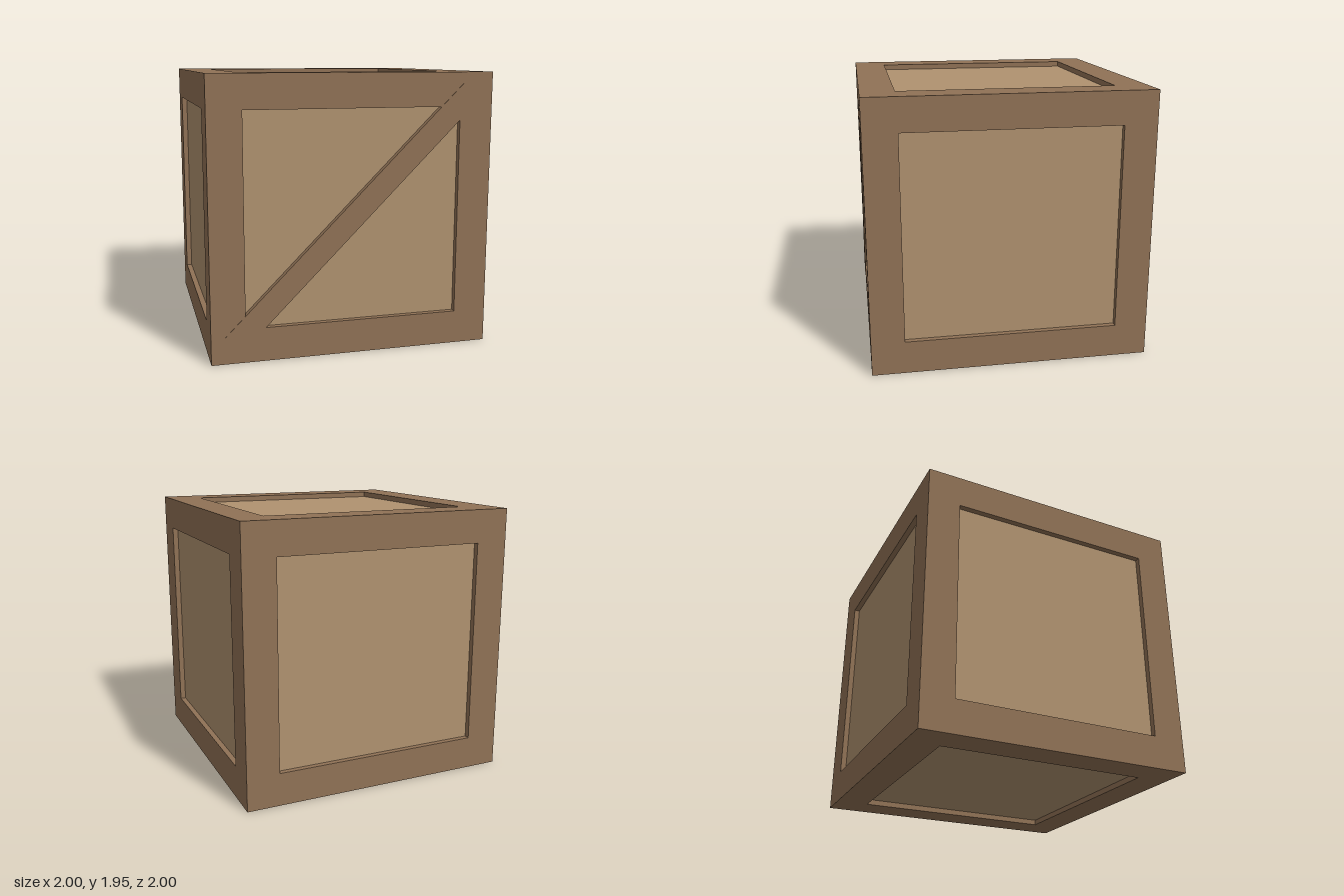
import * as THREE from 'three';

const W = 1.996, H = 1.95; // outer width/depth and height of the frame
const B = 0.237;           // beam thickness
const RECESS = 0.04;       // how far the panels sit behind the frame
const PROUD = 0.004;       // how far the brace stands out of the frame

export function createModel() {
  const frameWood = new THREE.MeshStandardMaterial({ color: 0x907256 });
  frameWood.name = 'frameWood';
  const panelWood = new THREE.MeshStandardMaterial({ color: 0xb09270 });
  panelWood.name = 'panelWood';

  const crate = new THREE.Group();
  crate.name = 'crate';

  function box(name, size, pos, material, parent = crate) {
    const mesh = new THREE.Mesh(new THREE.BoxGeometry(...size), material);
    mesh.name = name;
    mesh.position.set(...pos);
    parent.add(mesh);
    return mesh;
  }

  // Inner box whose six faces are the recessed panels
  box('panels', [W - 2 * RECESS, H - 2 * RECESS, W - 2 * RECESS], [0, H / 2, 0], panelWood);

  // Frame of twelve beams that butt against each other
  const frame = new THREE.Group();
  frame.name = 'frame';
  crate.add(frame);
  const side = (W - B) / 2, rise = (H - B) / 2, span = W - 2 * B;
  for (const a of [-1, 1]) {
    for (const b of [-1, 1]) {
      box('cornerPost', [B, H, B], [a * side, H / 2, b * side], frameWood, frame);
      box('crossRail', [span, B, B], [0, H / 2 + a * rise, b * side], frameWood, frame);
      box('sideRail', [B, B, span], [a * side, H / 2 + b * rise, 0], frameWood, frame);
    }
  }

  // Diagonal brace across the front, rising toward +x
  const depth = RECESS + PROUD + 0.01;
  const brace = box('diagonalBrace', [2.38, 0.163, depth],
    [0, H / 2, W / 2 + PROUD - depth / 2], frameWood);
  brace.rotation.z = Math.PI / 4;

  // Centre the whole depth, brace included
  crate.children.forEach((part) => { part.position.z -= PROUD / 2; });
  return crate;
}
